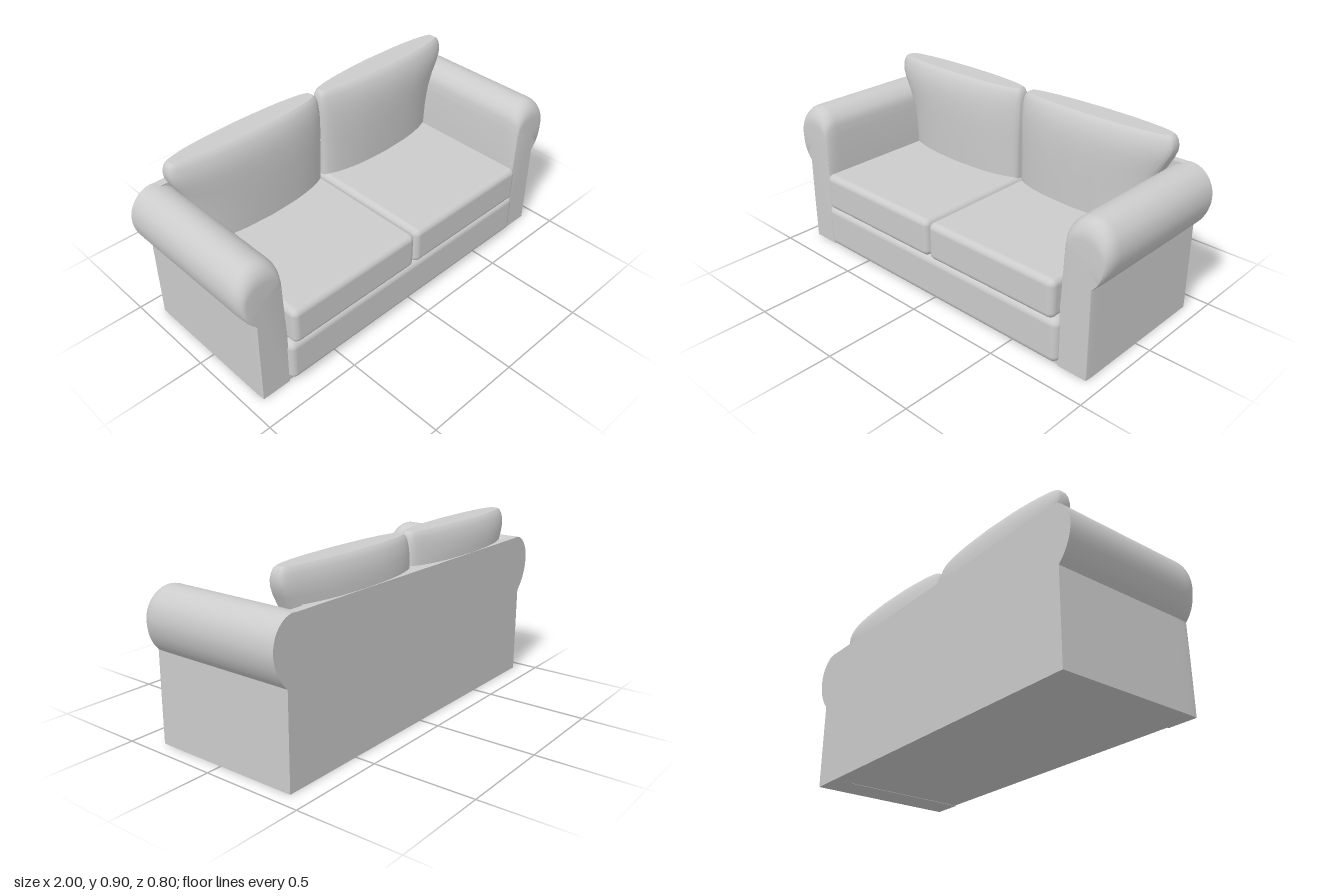
import * as THREE from 'three';
import { toCreasedNormals } from 'three/addons/utils/BufferGeometryUtils.js';
import { RoundedBoxGeometry } from 'three/addons/geometries/RoundedBoxGeometry.js';

const material = new THREE.MeshStandardMaterial({ color: 0xcccccc });

// Skin over a list of closed rings, with a fan cap at each end
function loft(rings) {
  const n = rings[0].length, last = rings.length - 1;
  const points = rings.flat(), index = [];
  for (let i = 0; i < last; i++) {
    for (let j = 0; j < n; j++) {
      const k = (j + 1) % n;
      const a = i * n + j, b = i * n + k, c = b + n, d = a + n;
      index.push(a, b, c, a, c, d);
    }
  }
  for (const r of [0, last]) {
    const centre = new THREE.Vector3();
    rings[r].forEach(p => centre.addScaledVector(p, 1 / n));
    const m = points.push(centre) - 1;
    for (let j = 0; j < n; j++) {
      const a = r * n + j, b = r * n + (j + 1) % n;
      if (r) index.push(m, a, b);
      else index.push(m, b, a);
    }
  }
  const geo = new THREE.BufferGeometry().setFromPoints(points);
  geo.setIndex(index);
  return toCreasedNormals(geo, 0.6);
}

// Mirror rings across x = 0, keeping their faces outward
const mirror = rings => rings.map(ring =>
  ring.map(p => new THREE.Vector3(-p.x, p.y, p.z)).reverse());

// Rolled arm: outline in x/y, swept along z, softened at the front
function armRings() {
  const roll = [
    [0.925, 0.45], [0.955, 0.483], [0.986, 0.54], [1.0, 0.61], [0.985, 0.68],
    [0.94, 0.732], [0.885, 0.75], [0.825, 0.735], [0.78, 0.69], [0.766, 0.62],
  ].map(p => new THREE.Vector3(p[0], p[1], 0));
  const outline = [
    new THREE.Vector3(0.768, 0, 0), new THREE.Vector3(0.925, 0, 0),
    new THREE.Vector3(0.925, 0.25, 0),
    ...new THREE.CatmullRomCurve3(roll).getPoints(36),
    new THREE.Vector3(0.766, 0.3, 0),
  ];
  const ring = (z, e) => outline.map(p => {
    const h = Math.max(0, (p.y - 0.43) / 0.32);
    const squeeze = 1 - e * (0.04 + 0.2 * Math.min(1, h * 2));
    return new THREE.Vector3(0.85 + (p.x - 0.85) * squeeze, p.y - 0.09 * e * h * h, z);
  });
  const rings = [ring(-0.4, 0)];
  for (let i = 0; i <= 8; i++) {
    const a = i / 8 * Math.PI / 2;
    rings.push(ring(0.29 + 0.075 * Math.sin(a), 1 - Math.cos(a)));
  }
  return rings;
}

// Back cushion: lens-shaped sections stacked in y, flaring over the arm
function backCushionRings() {
  const rows = [ // y, inner x, outer x, half thickness
    [0.40, 0.012, 0.755, 0.106], [0.55, 0.010, 0.763, 0.11], [0.65, 0.008, 0.78, 0.112],
    [0.72, 0.005, 0.806, 0.112], [0.78, 0.004, 0.84, 0.109], [0.82, 0.005, 0.857, 0.103],
    [0.85, 0.007, 0.861, 0.095], [0.875, 0.011, 0.857, 0.084], [0.893, 0.018, 0.849, 0.073],
    [0.903, 0.03, 0.835, 0.06],
  ];
  const soft = v => Math.sign(v) * Math.pow(Math.abs(v), 0.4);
  return rows.map(([y, x0, x1, t]) => {
    const ring = [];
    for (let i = 0; i < 64; i++) {
      const a = i / 64 * Math.PI * 2;
      const u = soft(Math.cos(a));
      const v = soft(Math.sin(a)) * (1 - 0.42 * u * u);
      ring.push(new THREE.Vector3((x0 + x1) / 2 + u * (x1 - x0) / 2, y, -0.287 - v * t));
    }
    return ring;
  });
}

export function createModel() {
  const sofa = new THREE.Group();
  sofa.name = 'sofa';
  const add = (name, geo, x = 0, y = 0, z = 0) => {
    const mesh = new THREE.Mesh(geo, material);
    mesh.name = name;
    mesh.position.set(x, y, z);
    sofa.add(mesh);
  };

  // Arms and cushions on both sides
  const arm = armRings(), backCushion = backCushionRings();
  add('leftArm', loft(arm));
  add('rightArm', loft(mirror(arm)));
  add('leftBackCushion', loft(backCushion));
  add('rightBackCushion', loft(mirror(backCushion)));
  for (const [side, s] of [['left', 1], ['right', -1]]) {
    add(side + 'SeatCushion', new RoundedBoxGeometry(0.75, 0.194, 0.74, 5, 0.032),
      s * 0.378, 0.334, 0.03);
  }

  // Padded front rail, floor frame and flat back panel
  add('frontRail', new RoundedBoxGeometry(1.55, 0.225, 0.6, 6, 0.035), 0, 0.127, 0.092);
  add('baseFrame', new THREE.BoxGeometry(1.54, 0.16, 0.72), 0, 0.082, 0);
  add('backPanel', new THREE.BoxGeometry(1.56, 0.748, 0.1), 0, 0.374, -0.35);
  // Rails that close the back between the arm rolls
  for (const [side, s] of [['left', 1], ['right', -1]]) {
    add(side + 'BackCorner', new THREE.BoxGeometry(0.11, 0.098, 0.04), s * 0.83, 0.699, -0.38);
  }
  return sofa;
}
